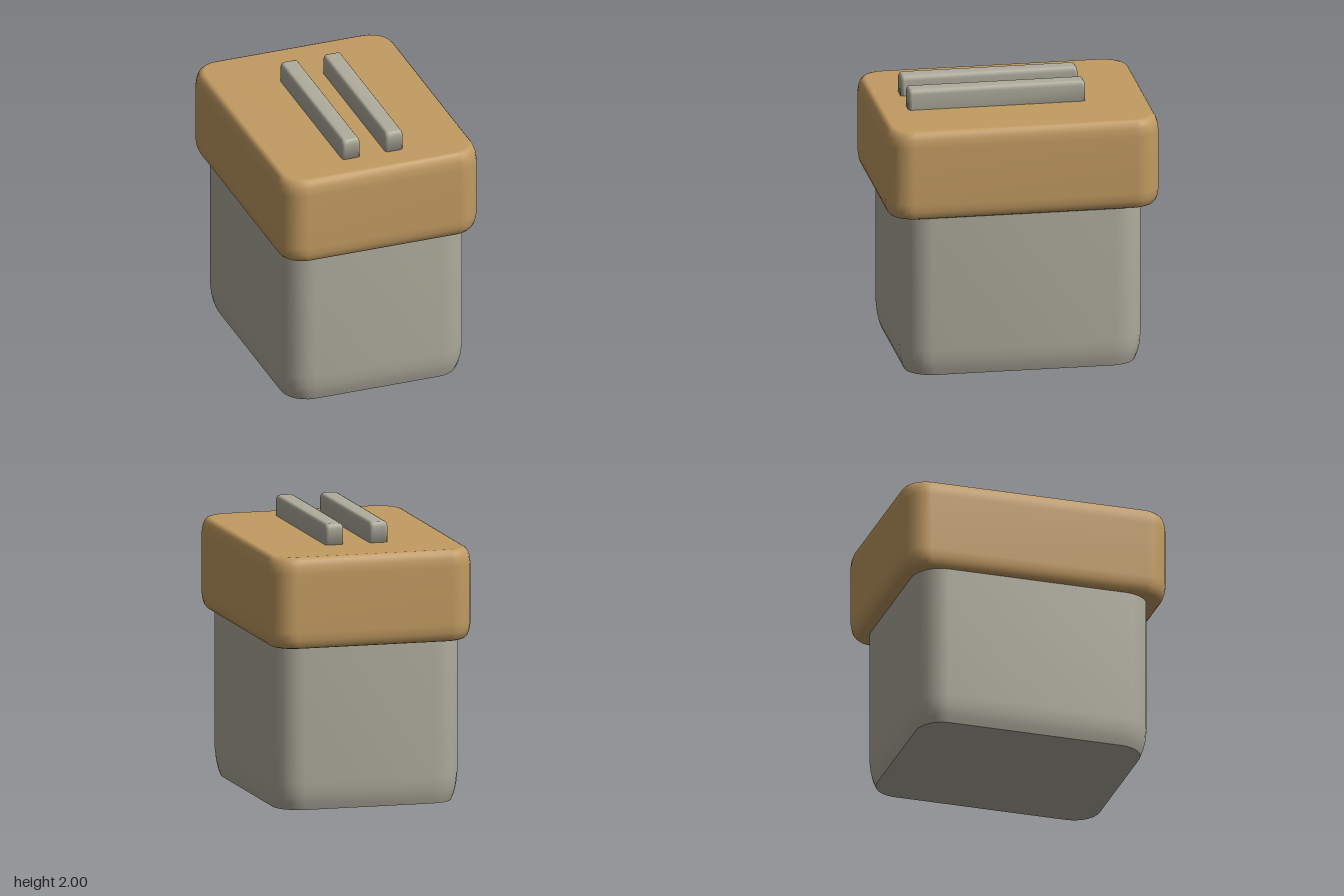
import * as THREE from 'three';
import { toCreasedNormals } from 'three/addons/utils/BufferGeometryUtils.js';

const CORNER_STEPS = 6;

// Stack rounded rectangles; each profile entry is [height, inset]
function roundedBlock(halfW, halfD, radius, profile) {
  const pos = [], index = [];
  const n = 4 * (CORNER_STEPS + 1);
  for (const [y, inset] of profile) {
    const w = halfW - inset, d = halfD - inset;
    const r = Math.max(radius - inset * 0.5, 0.005);
    for (let c = 0; c < 4; c++) {
      const sx = c === 0 || c === 3 ? 1 : -1, sz = c < 2 ? 1 : -1;
      for (let k = 0; k <= CORNER_STEPS; k++) {
        const a = (c + k / CORNER_STEPS) * Math.PI / 2;
        pos.push(sx * (w - r) + r * Math.cos(a), y, sz * (d - r) + r * Math.sin(a));
      }
    }
  }
  const rings = profile.length, last = (rings - 1) * n;
  const bottom = rings * n, top = bottom + 1;
  pos.push(0, profile[0][0], 0, 0, profile[rings - 1][0], 0);
  for (let i = 0; i < n; i++) {
    const j = (i + 1) % n;
    for (let k = 0; k < rings - 1; k++) {
      const p = k * n, q = p + n;
      index.push(p + i, q + i, p + j, p + j, q + i, q + j);
    }
    index.push(bottom, i, j, top, last + j, last + i);
  }
  const geo = new THREE.BufferGeometry();
  geo.setAttribute('position', new THREE.Float32BufferAttribute(pos, 3));
  geo.setIndex(index);
  geo.computeVertexNormals();
  return geo;
}

export function createModel() {
  const group = new THREE.Group();
  const stone = new THREE.MeshStandardMaterial({ color: 0xb0ad9e });
  stone.name = 'warm grey';
  const wood = new THREE.MeshStandardMaterial({ color: 0xc29b62 });
  wood.name = 'tan';

  const add = (name, geo, mat, x = 0, z = 0) => {
    const mesh = new THREE.Mesh(geo, mat);
    mesh.name = name;
    mesh.position.set(x, 0, z);
    group.add(mesh);
  };

  // Body, tapering in to a flat base with a crisp edge
  const body = roundedBlock(0.698, 0.872, 0.21, [
    [0, 0.04], [0.05, 0.022], [0.11, 0.009], [0.2, 0], [1.25, 0],
  ]);
  add('body', toCreasedNormals(body, 0.7), stone);

  // Overhanging lid with softened rims
  add('lid', roundedBlock(0.755, 0.988, 0.18, [
    [1.187, 0.055], [1.195, 0.036], [1.215, 0.02], [1.25, 0.008], [1.31, 0],
    [1.73, 0], [1.79, 0.008], [1.825, 0.02], [1.843, 0.036], [1.85, 0.055],
  ]), wood);

  // Two raised bars on top, set towards the front
  for (const [name, x] of [['rightBar', -0.166], ['leftBar', 0.161]]) {
    add(name, roundedBlock(0.068, 0.64, 0.025, [
      [1.8, 0], [1.965, 0], [1.985, 0.005], [1.996, 0.013], [2, 0.024],
    ]), stone, x, 0.118);
  }
  return group;
}
